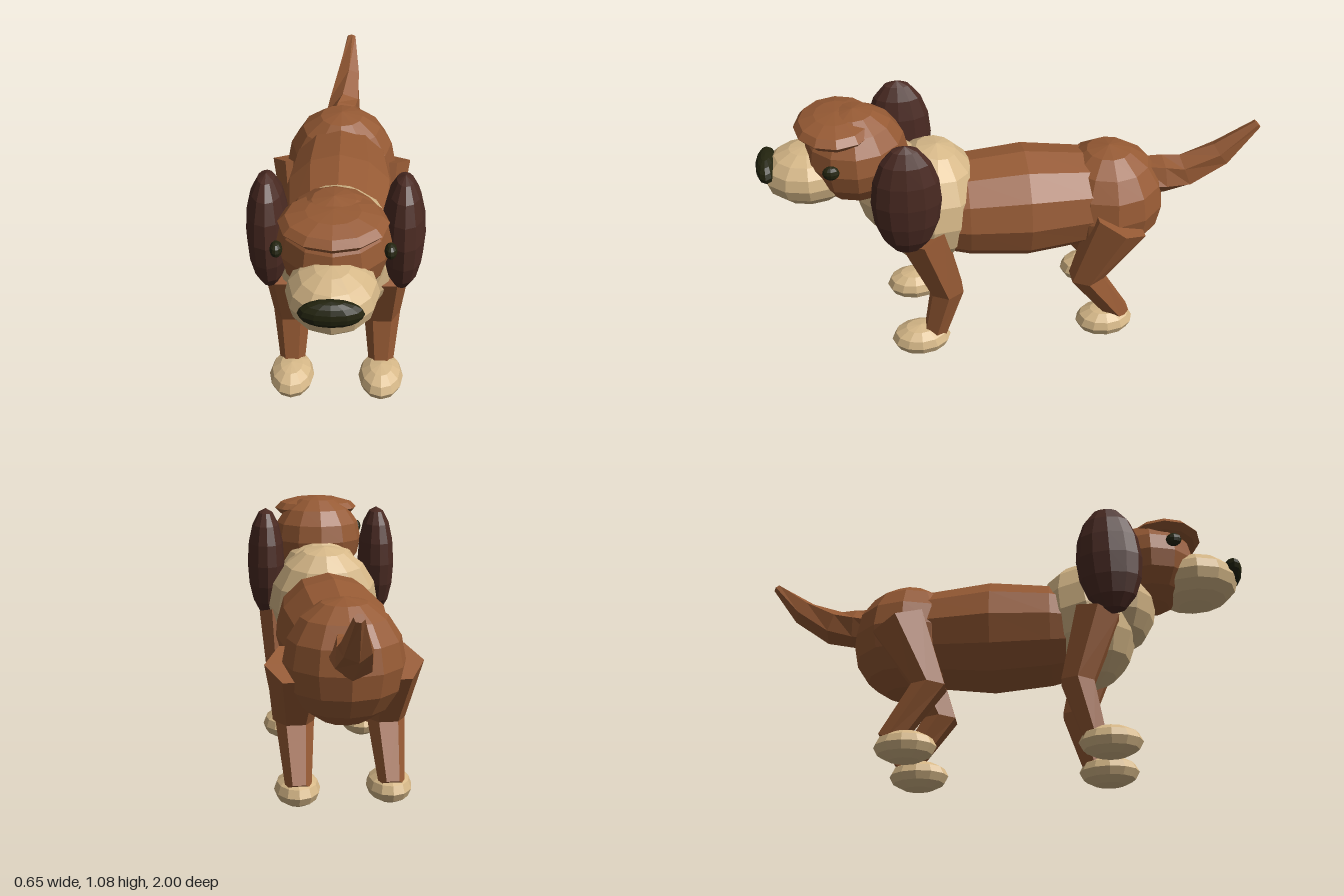
import * as THREE from 'three';

const flat = (name, color) => {
  const m = new THREE.MeshStandardMaterial({ color, flatShading: true });
  m.name = name;
  return m;
};

// Closed skin through rings [x, y, z, rx, ry] along a path
function loft(rings, sides, twist = 0) {
  const centres = rings.map(r => new THREE.Vector3(r[0], r[1], r[2]));
  const pos = [], idx = [];
  const last = rings.length - 1;
  rings.forEach((r, i) => {
    const t = centres[Math.min(i + 1, last)].clone().sub(centres[Math.max(i - 1, 0)]).normalize();
    const u = new THREE.Vector3(1, 0, 0).addScaledVector(t, -t.x).normalize();
    const v = t.clone().cross(u);
    for (let j = 0; j < sides; j++) {
      const a = (j / sides) * Math.PI * 2 + i * twist;
      const p = centres[i].clone()
        .addScaledVector(u, Math.cos(a) * r[3])
        .addScaledVector(v, Math.sin(a) * (r[4] ?? r[3]));
      pos.push(p.x, p.y, p.z);
    }
  });
  for (let i = 0; i < last; i++) {
    for (let j = 0; j < sides; j++) {
      const a = i * sides + j, b = i * sides + (j + 1) % sides;
      idx.push(a, b, b + sides, a, b + sides, a + sides);
    }
  }
  // End caps
  const start = pos.length / 3;
  for (const c of [centres[0], centres[last]]) pos.push(c.x, c.y, c.z);
  for (let j = 0; j < sides; j++) {
    const k = (j + 1) % sides;
    idx.push(start, k, j, start + 1, last * sides + j, last * sides + k);
  }
  const g = new THREE.BufferGeometry();
  g.setAttribute('position', new THREE.Float32BufferAttribute(pos, 3));
  g.setIndex(idx);
  g.computeVertexNormals();
  return g;
}

export function createModel() {
  const dog = new THREE.Group();
  dog.name = 'dog';
  const brown = flat('brown coat', 0x965a34);
  const cream = flat('cream coat', 0xd6b888);
  const dark = flat('dark brown ear', 0x4a2a22);
  const black = flat('black nose', 0x23240f);

  const add = (name, geometry, material) => {
    const mesh = new THREE.Mesh(geometry, material);
    mesh.name = name;
    dog.add(mesh);
    return mesh;
  };
  // Faceted ellipsoid
  const blob = (name, material, [x, y, z], [rx, ry, rz], rows = 8, tilt = 0) => {
    const mesh = add(name, new THREE.SphereGeometry(1, 12, rows), material);
    mesh.position.set(x, y, z);
    mesh.scale.set(rx, ry, rz);
    mesh.rotation.x = tilt;
    return mesh;
  };

  // Trunk
  add('barrel', loft([
    [0, 0.595, -0.4, 0.19, 0.185],
    [0, 0.595, -0.3, 0.205, 0.198],
    [0, 0.598, -0.04, 0.235, 0.228],
    [0, 0.6, 0.2, 0.215, 0.205],
    [0, 0.6, 0.3, 0.19, 0.18],
  ], 12), brown);
  blob('rump', brown, [0, 0.58, -0.385], [0.235, 0.245, 0.235]);
  blob('chest', cream, [0, 0.635, 0.345], [0.24, 0.265, 0.205], 8, -0.15);
  blob('neck', cream, [0, 0.715, 0.475], [0.19, 0.19, 0.16]);

  // Head
  blob('head', brown, [0, 0.89, 0.615], [0.2, 0.19, 0.2]);
  blob('brow', brown, [0, 1.02, 0.68], [0.188, 0.052, 0.16], 6);
  blob('muzzle', cream, [0, 0.82, 0.8], [0.16, 0.115, 0.18]);
  blob('nose', black, [0, 0.86, 0.958], [0.11, 0.05, 0.042]);

  // Tail, bending up and slightly to one side
  add('tail', loft([
    [0, 0.66, -0.52, 0.08],
    [0.003, 0.665, -0.62, 0.08],
    [0.006, 0.675, -0.71, 0.075],
    [0.018, 0.755, -0.85, 0.056],
    [0.03, 0.887, -0.985, 0.019],
  ], 6, 0.2), brown);

  for (const [side, s] of [['left', 1], ['right', -1]]) {
    blob(side + ' ear', dark, [s * 0.245, 0.81, 0.443], [0.081, 0.24, 0.133], 8, -0.03);
    blob(side + ' eye', black, [s * 0.193, 0.925, 0.71], [0.022, 0.028, 0.032], 6);

    // Legs: shoulder or hip, knee, ankle
    const x = s * 0.18;
    add(side + ' front leg', loft([
      [x, 0.6, 0.39, 0.1],
      [x, 0.31, 0.303, 0.073],
      [x, 0.09, 0.36, 0.05],
    ], 6), brown);
    add(side + ' hind leg', loft([
      [x, 0.577, -0.4, 0.122],
      [x, 0.31, -0.275, 0.075],
      [x, 0.09, -0.425, 0.05],
    ], 6), brown);
    blob(side + ' front paw', cream, [x, 0.065, 0.42], [0.09, 0.063, 0.122], 6);
    blob(side + ' hind paw', cream, [x, 0.065, -0.36], [0.09, 0.063, 0.122], 6);
  }
  return dog;
}
